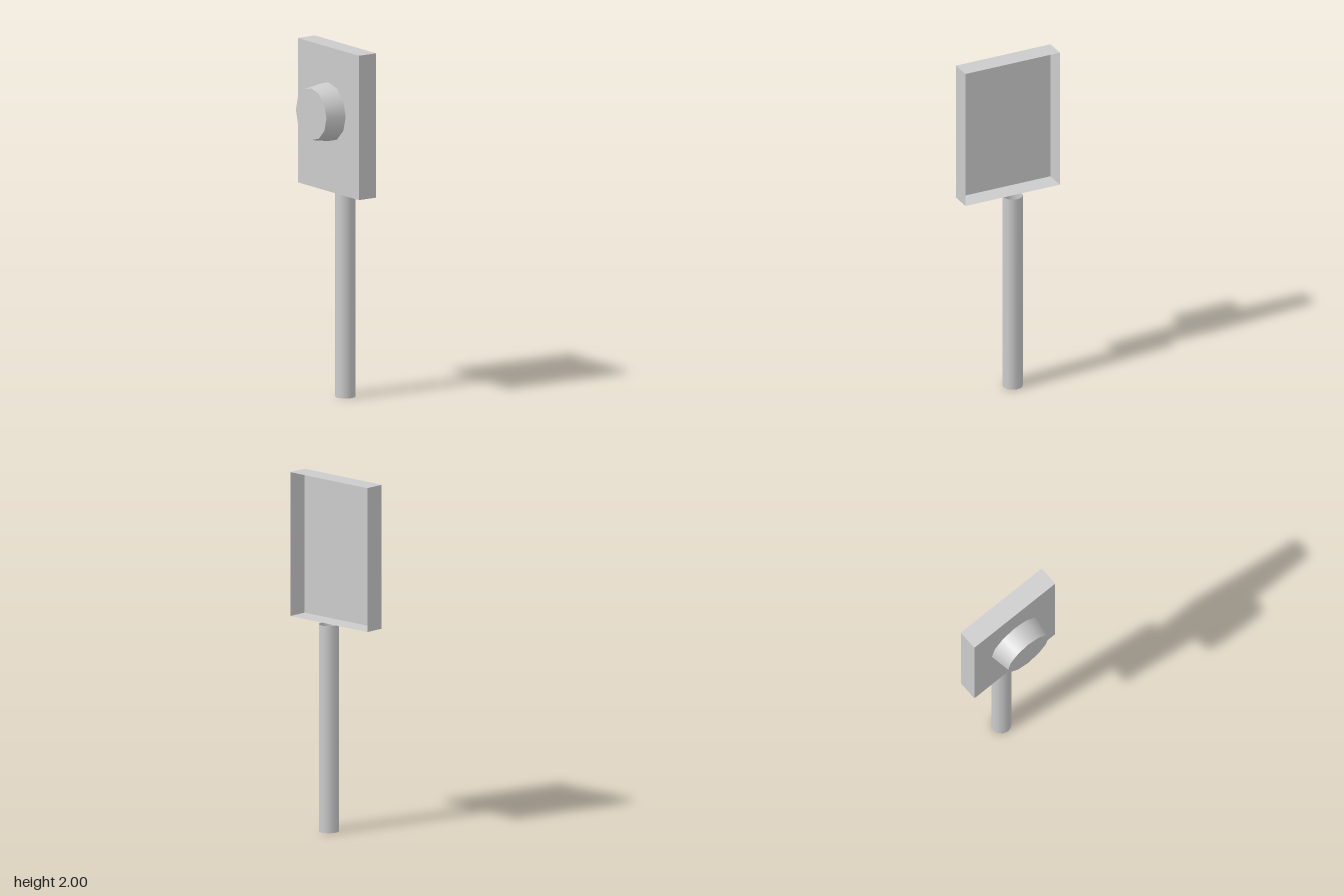
import * as THREE from 'three';

export function createModel() {
  const model = new THREE.Group();
  const grey = new THREE.MeshStandardMaterial({ color: 0xcccccc, side: THREE.DoubleSide });
  grey.name = 'grey';

  function add(name, geometry, x, y, z) {
    const mesh = new THREE.Mesh(geometry, grey);
    mesh.name = name;
    mesh.position.set(x, y, z);
    model.add(mesh);
    return mesh;
  }

  // Thin hollow tube, open at both ends
  add('pole', new THREE.CylinderGeometry(0.057, 0.057, 1.18, 12, 1, true), 0, 0.59, -0.088);

  // Shallow panel, open at the back: the last six indices of a box are its -z face
  const shell = new THREE.BoxGeometry(0.588, 0.82, 0.117);
  shell.setIndex(Array.from(shell.index.array).slice(0, 30));
  shell.clearGroups();
  add('panel', shell, 0, 1.59, -0.031);

  // Tapered round button: open side wall plus a flat front face
  const wall = new THREE.CylinderGeometry(0.147, 0.167, 0.117, 12, 1, true);
  wall.rotateX(Math.PI / 2);
  add('buttonSide', wall, 0, 1.632, 0.0865);
  add('buttonFace', new THREE.CircleGeometry(0.147, 12), 0, 1.632, 0.145);

  return model;
}
